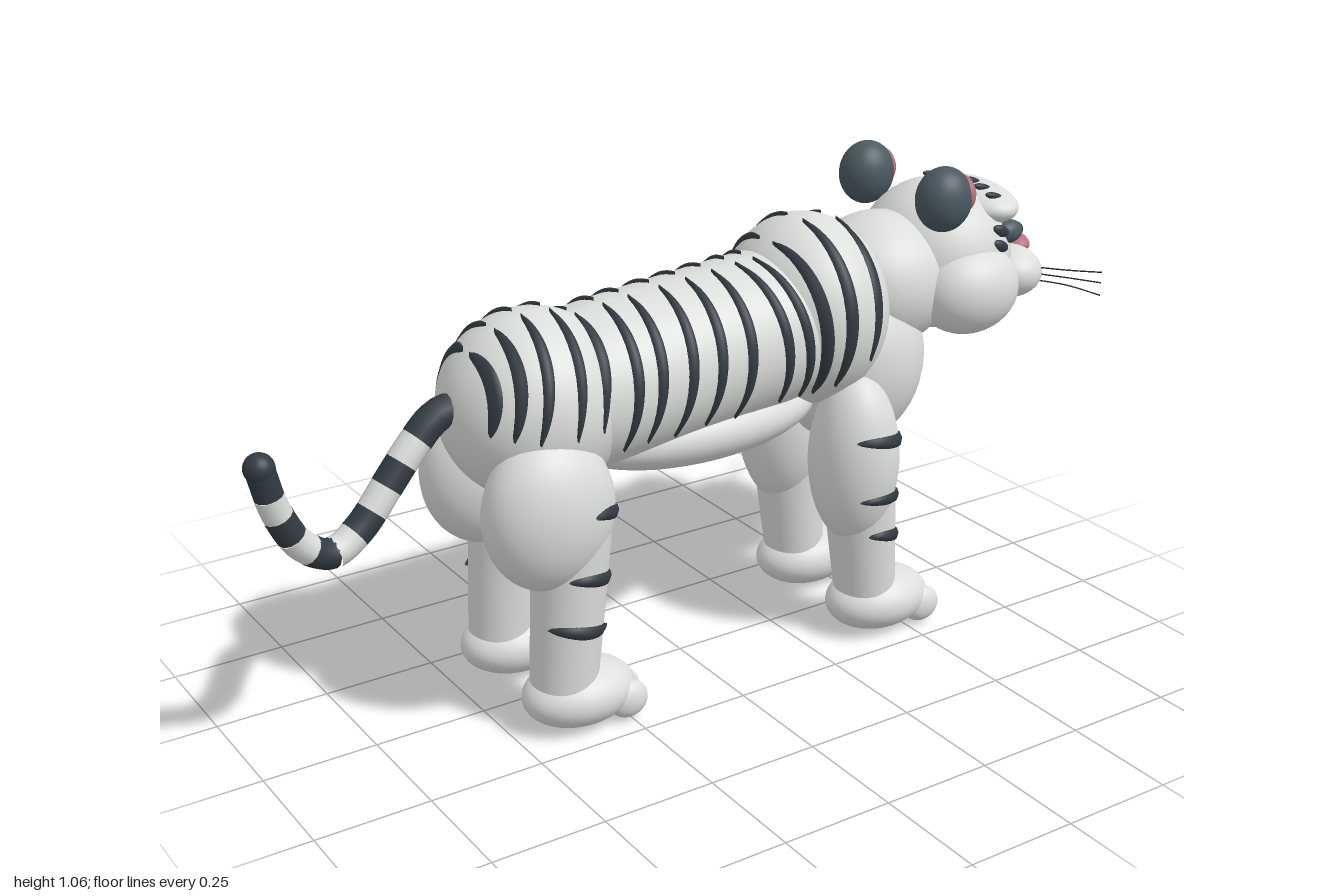
import * as THREE from 'three';

const mat = (name, color, side = THREE.FrontSide) => {
  const m = new THREE.MeshStandardMaterial({ color, side });
  m.name = name;
  return m;
};

export function createModel() {
  const white = mat('white fur', 0xdcdedb);
  const dark = mat('dark stripe', 0x323a42, THREE.DoubleSide);
  const grey = mat('ear grey', 0x4b5961);
  const pink = mat('pink skin', 0xb4727c);
  const black = mat('black', 0x1c2024);

  const model = new THREE.Group();
  model.name = 'stripedCat';
  const add = (name, geo, material) => {
    const mesh = new THREE.Mesh(geo, material);
    mesh.name = name;
    model.add(mesh);
    return mesh;
  };
  const ball = (name, c, r, material = white) => {
    const mesh = add(name, new THREE.SphereGeometry(1, 36, 24), material);
    mesh.position.set(...c);
    mesh.scale.set(...r);
    return mesh;
  };
  const tube = (name, pts, radius, material, steps = 16) => add(name, new THREE.TubeGeometry(
    new THREE.CatmullRomCurve3(pts.map(p => new THREE.Vector3(...p))), steps, radius, 12), material);
  const both = fn => [1, -1].forEach(s => fn(s, s > 0 ? 'left' : 'right'));

  // Body masses: power p makes the ends blunter, tilt raises the front
  const masses = [
    { name: 'torso', c: [0, 0.717, 0], r: [0.42, 0.172, 0.18], p: 6, tilt: 0.09 },
    { name: 'rump', c: [-0.36, 0.685, 0], r: [0.2, 0.2, 0.19], p: 2, tilt: 0 },
    { name: 'shoulders', c: [0.325, 0.76, 0], r: [0.175, 0.213, 0.205], p: 2, tilt: 0 },
  ];
  const ring = (m, u) => Math.sqrt(Math.max(0, 1 - Math.abs(u) ** m.p));
  for (const m of masses) {
    const geo = new THREE.SphereGeometry(1, 48, 40).rotateZ(-Math.PI / 2);
    const pos = geo.attributes.position;
    for (let i = 0; i < pos.count; i++) {
      const u = pos.getX(i), k = ring(m, u) / Math.max(1e-6, Math.sqrt(Math.max(0, 1 - u * u)));
      const f = Math.abs(u) > 0.99999 ? 0 : k;
      pos.setXYZ(i, m.c[0] + u * m.r[0], m.c[1] + pos.getY(i) * f * m.r[1] + m.tilt * u * m.r[0], pos.getZ(i) * f * m.r[2]);
    }
    geo.computeVertexNormals();
    add(m.name, geo, white);
  }
  ball('belly', [0.03, 0.565, 0], [0.31, 0.085, 0.15]);
  ball('chest', [0.45, 0.63, 0], [0.17, 0.21, 0.175]);
  ball('neck', [0.53, 0.79, 0], [0.17, 0.155, 0.16]);

  // Distance from a point to the far side of an ellipse, along direction (da, db)
  const exit = (oa, ob, da, db, ra, rb) => {
    const A = (da / ra) ** 2 + (db / rb) ** 2;
    const B = oa * da / ra ** 2 + ob * db / rb ** 2;
    const D = B * B - A * ((oa / ra) ** 2 + (ob / rb) ** 2 - 1);
    return D < 0 ? 0 : (-B + Math.sqrt(D)) / A;
  };
  const AXIS = 0.7;
  const bodySkin = (x, a) => Math.max(...masses.map(m => {
    const u = (x - m.c[0]) / m.r[0], k = ring(m, u);
    if (k < 0.05) return 0;
    return exit(AXIS - m.c[1] - m.tilt * (x - m.c[0]), 0, Math.cos(a), Math.sin(a), m.r[1] * k, m.r[2] * k);
  }));

  // Raised ribbon tapering to both ends; place(t, across, lift) gives a point on the skin
  const ribbon = (name, place, halfWidth, n = 28) => {
    const across = [-1, -0.7, 0, 0.7, 1], lift = [-0.006, 0.004, 0.007, 0.004, -0.006];
    const verts = [], index = [];
    for (let i = 0; i <= n; i++) {
      const t = i / n, w = halfWidth * Math.sin(Math.PI * t) ** 0.6;
      across.forEach((q, j) => {
        verts.push(...place(t, q * w, lift[j]));
        if (i < n && j < 4) {
          const a = i * 5 + j;
          index.push(a, a + 1, a + 5, a + 1, a + 6, a + 5);
        }
      });
    }
    const geo = new THREE.BufferGeometry();
    geo.setAttribute('position', new THREE.Float32BufferAttribute(verts, 3));
    geo.setIndex(index);
    geo.computeVertexNormals();
    add(name, geo, dark);
  };

  // Body stripes: x at the spine, x at the low end, end angle from the top
  const bodyStripes = [
    [-0.505, -0.52, 1.7], [-0.45, -0.485, 1.72], [-0.39, -0.44, 1.75], [-0.325, -0.365, 1.75], [-0.265, -0.3, 1.75],
    [-0.2, -0.235, 2.15], [-0.14, -0.18, 2.1], [-0.065, -0.11, 2.15], [0, -0.035, 2.1], [0.065, 0.045, 2.15],
    [0.125, 0.16, 2.1], [0.17, 0.22, 2.15], [0.22, 0.255, 2.15], [0.295, 0.29, 1.95], [0.385, 0.365, 1.65],
  ];
  both((s, side) => bodyStripes.forEach(([x0, x1, end], i) => ribbon(side + 'BodyStripe' + (i + 1), (t, w, h) => {
    const x = x0 + (x1 - x0) * t + 0.012 * Math.sin(Math.PI * t) + w;
    const a = 0.1 + (end - 0.1) * t, r = bodySkin(x, a) + h;
    return [x, AXIS + r * Math.cos(a), s * r * Math.sin(a)];
  }, i > 12 ? 0.018 : 0.015)));

  // Legs: upper ellipsoid, sheared tapering shin, paw, toes and wrap-around stripes
  const legs = [
    { name: 'Front', c: [0.37, 0.44, 0.137], r: [0.1, 0.2, 0.104], xt: 0.375, rt: 0.088, xb: 0.415, rb: 0.07, paw: 0.45,
      stripes: [[0.5, 0.15, 2.2], [0.36, 0.15, 2.2], [0.26, 0.2, 2.0]] },
    { name: 'Rear', c: [-0.405, 0.505, 0.137], r: [0.145, 0.17, 0.104], xt: -0.35, rt: 0.085, xb: -0.38, rb: 0.072, paw: -0.345,
      stripes: [[0.5, 0.1, 1.6], [0.36, 0.15, 2.1], [0.25, 0.5, 2.6]] },
  ];
  const yTop = 0.5, yBot = 0.1;
  for (const L of legs) both((s, side) => {
    const label = side + L.name, z = L.c[2];
    ball(label + 'UpperLeg', [L.c[0], L.c[1], s * z], L.r);
    const shin = new THREE.CylinderGeometry(L.rt, L.rb, yTop - yBot, 32, 1);
    const lean = (L.xt - L.xb) / (yTop - yBot);
    shin.applyMatrix4(new THREE.Matrix4().set(1, lean, 0, (L.xt + L.xb) / 2, 0, 1, 0, (yTop + yBot) / 2, 0, 0, 1, s * z, 0, 0, 0, 1));
    add(label + 'LowerLeg', shin, white);
    ball(label + 'Paw', [L.paw, 0.077, s * z], [0.127, 0.07, 0.096]);
    [-1, 0, 1].forEach(k => ball(label + 'Toe' + (k + 2),
      [L.paw + (k ? 0.088 : 0.1), 0.054, s * z + k * 0.055], [0.046, 0.042, 0.029]));
    L.stripes.forEach(([y0, a0, a1], i) => ribbon(label + 'LegStripe' + (i + 1), (t, w, h) => {
      const y = y0 - 0.012 * Math.cos(Math.PI * t) + w, f = (y - yBot) / (yTop - yBot);
      const ax = L.xb + (L.xt - L.xb) * f, a = a0 + (a1 - a0) * t;
      const k = Math.sqrt(Math.max(0, 1 - ((y - L.c[1]) / L.r[1]) ** 2));
      const thigh = k > 0.05 ? exit(ax - L.c[0], 0, Math.cos(a), Math.sin(a), L.r[0] * k, L.r[2] * k) : 0;
      const r = Math.max(f < 1 ? L.rb + (L.rt - L.rb) * f : 0, thigh) + h;
      return [ax + r * Math.cos(a), y, s * (z + r * Math.sin(a))];
    }, 0.018));
  });

  // Banded tail
  const tail = new THREE.CatmullRomCurve3([[-0.5, 0.715, 0], [-0.575, 0.705, 0], [-0.63, 0.66, 0.005], [-0.69, 0.595, 0.012],
    [-0.765, 0.515, 0.022], [-0.83, 0.482, 0.03], [-0.89, 0.515, 0.036], [-0.94, 0.6, 0.042], [-0.968, 0.7, 0.045]]
    .map(p => new THREE.Vector3(...p)));
  const cuts = [0, 0.2, 0.28, 0.36, 0.44, 0.52, 0.6, 0.68, 0.76, 0.84, 0.91, 1];
  for (let i = 0; i + 1 < cuts.length; i++) {
    const pts = [0, 0.25, 0.5, 0.75, 1].map(t => tail.getPointAt(cuts[i] + (cuts[i + 1] - cuts[i]) * t).toArray());
    tube('tailBand' + (i + 1), pts, 0.034 - i * 0.0004, i % 2 ? white : dark, 8);
  }
  ball('tailTip', [-0.968, 0.7, 0.045], [0.031, 0.031, 0.031], dark);

  // Head
  ball('head', [0.69, 0.825, 0], [0.172, 0.172, 0.177]);
  ball('brow', [0.778, 0.937, 0], [0.086, 0.048, 0.15]);
  ball('noseBridge', [0.83, 0.85, 0], [0.075, 0.047, 0.06]);
  ball('nose', [0.91, 0.815, 0], [0.04, 0.027, 0.067], pink);
  ball('chin', [0.855, 0.725, 0], [0.065, 0.028, 0.08]);
  tube('mouthCentre', [[0.915, 0.8, 0], [0.91, 0.775, 0], [0.906, 0.752, 0]], 0.005, black);
  both((s, side) => {
    ball(side + 'Cheek', [0.683, 0.775, s * 0.128], [0.126, 0.103, 0.098]);
    ball(side + 'Muzzle', [0.855, 0.77, s * 0.068], [0.077, 0.06, 0.083]);
    tube(side + 'Mouth', [[0.907, 0.755, 0], [0.916, 0.743, s * 0.035], [0.926, 0.749, s * 0.068]], 0.005, black);
    ball(side + 'Eye', [0.8, 0.885, s * 0.12], [0.038, 0.027, 0.027], grey);
    ball(side + 'Pupil', [0.825, 0.885, s * 0.122], [0.016, 0.018, 0.014], black);
    ball(side + 'EyeGlint', [0.836, 0.897, s * 0.115], [0.006, 0.005, 0.005]);
    ball(side + 'Ear', [0.595, 0.995, s * 0.135], [0.066, 0.072, 0.057], grey);
    ball(side + 'InnerEar', [0.638, 1.002, s * 0.138], [0.029, 0.044, 0.042], pink);
    // Short brow and temple marks
    [[0.03, 0.987], [0.068, 0.98], [0.108, 0.969]].forEach(([z, y], i) => {
      ball(side + 'BrowMark' + (i + 1), [0.765, y, s * z], [0.026, 0.008, 0.009], dark).rotation.z = -0.3;
    });
    [[0.755, 0.9, 0.148], [0.745, 0.87, 0.16]].forEach((c, i) => {
      ball(side + 'TempleMark' + (i + 1), [c[0], c[1], s * c[2]], [0.024, 0.013, 0.009], dark).rotation.z = -0.4;
    });
    // Whiskers
    [0.787, 0.762, 0.732].forEach((y, i) => tube(side + 'Whisker' + (i + 1),
      [[0.89, 0.785 - i * 0.015, s * 0.12], [0.945, 0.782 - i * 0.018, s * 0.175], [0.998, y - 0.005, s * 0.228]], 0.0016, black, 8));
  });

  return model;
}
